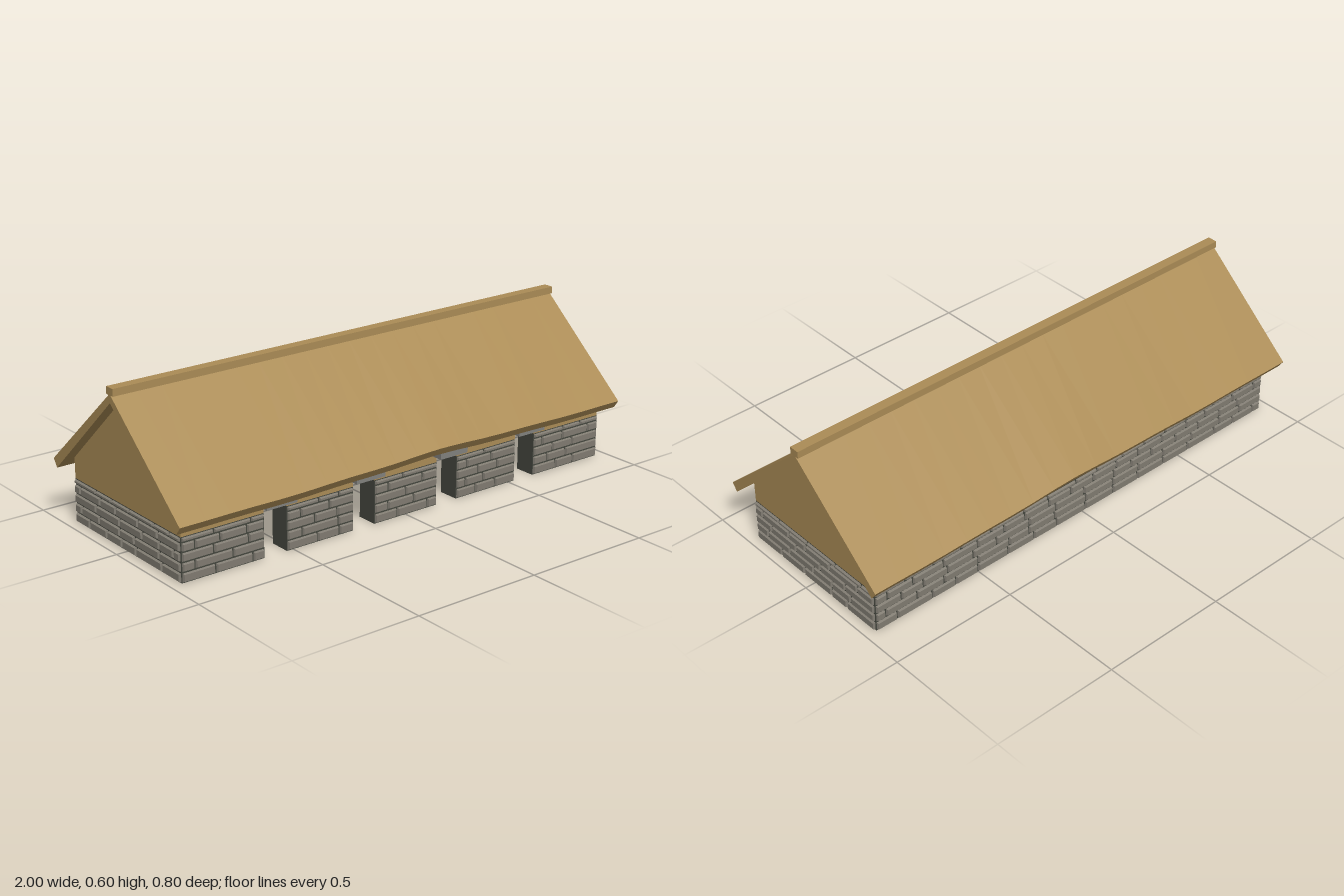
import * as THREE from 'three';
import { mergeGeometries } from 'three/addons/utils/BufferGeometryUtils.js';

const mat = (name, color) => Object.assign(new THREE.MeshStandardMaterial({ color }), { name });

const W = 0.955, D = 0.334, T = 0.082;       // half width, half depth, wall thickness
const STONE_TOP = 0.165, DOOR_TOP = 0.19, WALL_TOP = 0.275;
const DOORS = [-0.574, -0.191, 0.191, 0.574], DOOR_W = 0.095;
const COURSES = [0, 0.038, 0.074, 0.11, 0.145, STONE_TOP];

export function createModel() {
  const thatch = mat('straw', 0xab8c56);
  const stone = mat('stone', 0x817c72);
  const mortar = mat('dark mortar', 0x464840);
  const slate = mat('lintel grey', 0x82817e);
  const model = new THREE.Group();
  model.name = 'longhouse';

  let seed = 7;
  const rand = () => (seed = (seed * 16807) % 2147483647) / 2147483647;

  const add = (name, geometry, material, parent = model) => {
    const mesh = new THREE.Mesh(geometry, material);
    mesh.name = name;
    parent.add(mesh);
    return mesh;
  };
  // Box given by its low and high corners
  const box = (name, material, x0, x1, y0, y1, z0, z1) =>
    add(name, new THREE.BoxGeometry(x1 - x0, y1 - y0, z1 - z0), material)
      .position.set((x0 + x1) / 2, (y0 + y1) / 2, (z0 + z1) / 2);

  // One stone block whose outer face is chamfered
  const block = (x0, x1, y0, y1) => {
    const w = x1 - x0 - 0.003, h = y1 - y0 - 0.003, bevel = 0.005;
    const g = new THREE.BoxGeometry(w, h, 0.012);
    const p = g.attributes.position;
    for (let i = 0; i < p.count; i++) {
      if (p.getZ(i) < 0) continue;
      p.setX(i, p.getX(i) * (1 - 2 * bevel / w));
      p.setY(i, p.getY(i) * (1 - 2 * bevel / h));
    }
    g.computeVertexNormals();
    return g.translate((x0 + x1) / 2, (y0 + y1) / 2, 0.002);
  };

  // Courses of blocks of uneven length over a stretch of wall
  const masonry = (name, x0, x1, angle, distance) => {
    const blocks = [];
    for (let c = 0; c < COURSES.length - 1; c++) {
      let x = x0;
      let length = c % 2 ? 0.04 + rand() * 0.03 : 0.09 + rand() * 0.06;
      while (x < x1) {
        const end = x + length > x1 - 0.035 ? x1 : x + length;
        blocks.push(block(x, end, COURSES[c], COURSES[c + 1]));
        x = end;
        length = 0.085 + rand() * 0.075;
      }
    }
    const mesh = add(name, mergeGeometries(blocks), stone);
    mesh.rotation.y = angle;
    mesh.position.set(Math.sin(angle) * distance, 0, Math.cos(angle) * distance);
  };

  // Stone base: back and end walls
  box('backBase', mortar, -W, W, 0, STONE_TOP, -D, -D + T);
  masonry('backStones', -W, W, Math.PI, D);
  for (const s of [-1, 1]) {
    const a = s * W, b = s * (W - T);
    box('endBase', mortar, Math.min(a, b), Math.max(a, b), 0, STONE_TOP, -D + T, D - T);
    masonry('endStones', -D, D, s * Math.PI / 2, W);
  }

  // Front wall: piers between the doorways, straw wall cut round each door head
  const edges = [-W, ...DOORS.flatMap((x) => [x - DOOR_W / 2, x + DOOR_W / 2]), W];
  for (let i = 0; i < edges.length; i += 2) {
    box('frontPier', mortar, edges[i], edges[i + 1], 0, STONE_TOP, D - T, D);
    masonry('pierStones', edges[i], edges[i + 1], 0, D);
    box('pierHead', thatch, edges[i], edges[i + 1], STONE_TOP, DOOR_TOP, D - T, D);
  }
  box('frontUpperWall', thatch, -W, W, DOOR_TOP, WALL_TOP, D - T, D);
  box('backUpperWall', thatch, -W, W, STONE_TOP, WALL_TOP, -D, -D + T);
  for (const x of DOORS) {
    box('doorLintel', slate, x - 0.064, x + 0.064, DOOR_TOP, 0.214, D - 0.02, 0.376);
  }

  // Extrudes an outline in z and y along the length of the house
  const alongX = (points, length, steps) =>
    new THREE.ExtrudeGeometry(
      new THREE.Shape(points.map(([z, y]) => new THREE.Vector2(z, y))),
      { depth: length, steps, bevelEnabled: false }
    ).translate(0, 0, -length / 2).rotateY(Math.PI / 2);

  // Gable walls
  const gable = [[-D, STONE_TOP], [D, STONE_TOP], [D, 0.25], [0, 0.553], [-D, 0.25]];
  for (const s of [-1, 1]) {
    add('gable', alongX(gable, T, 1), thatch).position.x = s * (W - T / 2);
  }

  // Roof: one folded slab with gently uneven eaves
  const roof = alongX(
    [[0, 0.578], [-0.401, 0.231], [-0.38, 0.201], [0, 0.545], [0.38, 0.201], [0.401, 0.231]], 2, 20);
  const p = roof.attributes.position;
  for (let i = 0; i < p.count; i++) {
    const x = p.getX(i), z = p.getZ(i);
    const lift = 0.013 * Math.exp(-(((x - 0.1) / 0.35) ** 2)) + 0.002 * (1 - x * x) * Math.sin(x * 14);
    p.setY(i, p.getY(i) + lift * Math.abs(z) / 0.4);
  }
  roof.computeVertexNormals();
  add('roof', roof, thatch);
  box('ridgeCap', thatch, -1, 1, 0.573, 0.6, -0.02, 0.02);

  return model;
}
